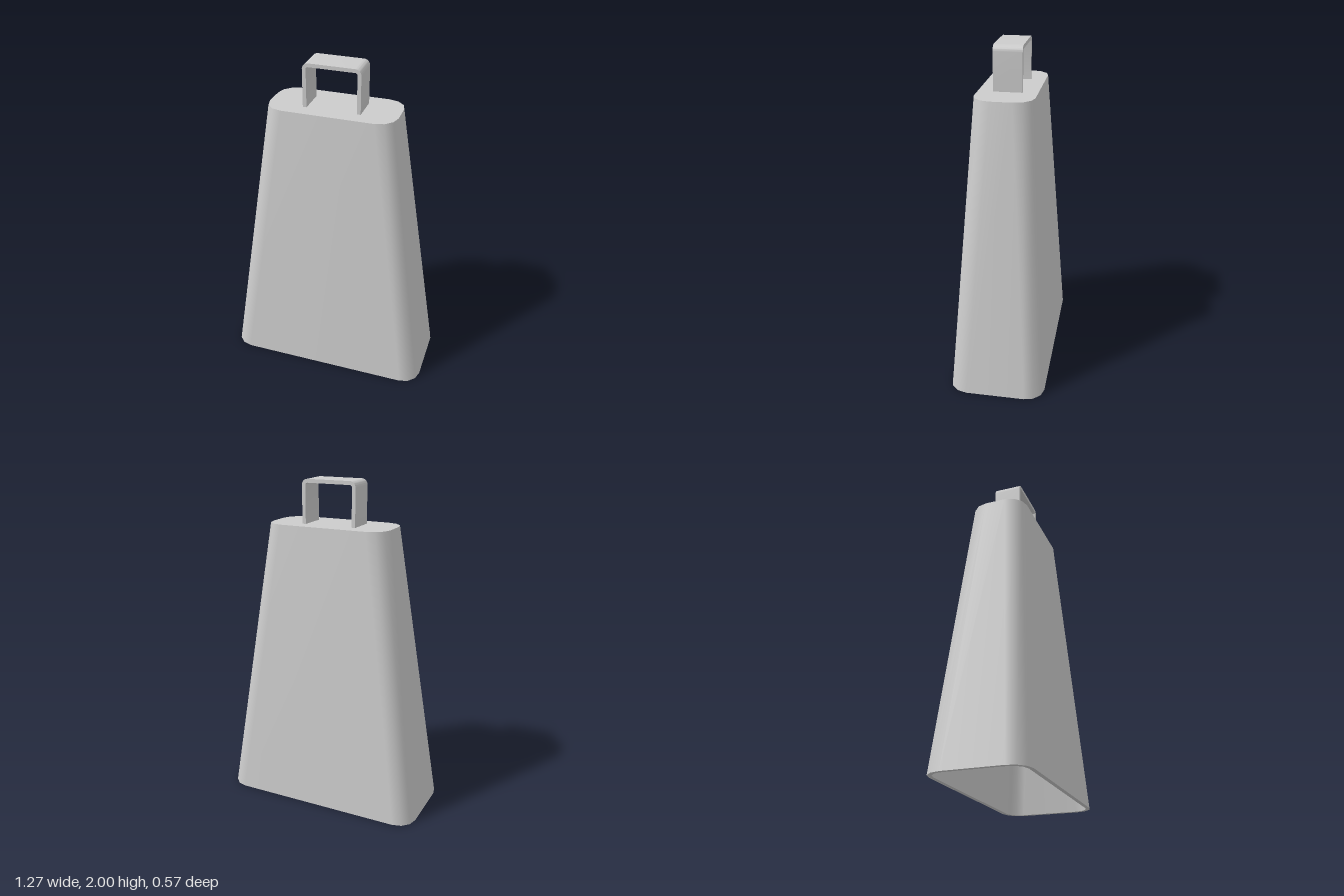
import * as THREE from 'three';
import { mergeGeometries, toCreasedNormals } from 'three/addons/utils/BufferGeometryUtils.js';

const TOP = 1.74, WALL = 0.025, STEPS = 3;

// Rounded-rectangle cross-section at height y, ordered from +x towards +z
function ring(hx, hz, r, y) {
  const points = [];
  for (let q = 0; q < 4; q++) {
    const cx = (q === 0 || q === 3 ? 1 : -1) * (hx - r);
    const cz = (q < 2 ? 1 : -1) * (hz - r);
    for (let i = 0; i <= STEPS; i++) {
      const a = (q + i / STEPS) * Math.PI / 2;
      points.push(new THREE.Vector3(cx + r * Math.cos(a), y, cz + r * Math.sin(a)));
    }
  }
  return points;
}

function build(points, index) {
  const g = new THREE.BufferGeometry().setFromPoints(points);
  g.setIndex(index);
  g.computeVertexNormals();
  return g;
}

// Closed strip joining two rings; smooth around, sharp at its borders
function band(a, b) {
  const n = a.length, index = [];
  for (let i = 0; i < n; i++) {
    const j = (i + 1) % n;
    index.push(i, n + i, j, j, n + i, n + j);
  }
  return build([...a, ...b], index);
}

// Flat fan filling a ring
function cap(points, up) {
  const index = [];
  for (let i = 1; i < points.length - 1; i++) index.push(0, up ? i + 1 : i, up ? i : i + 1);
  return build(points, index);
}

export function createModel() {
  const group = new THREE.Group();
  const material = new THREE.MeshStandardMaterial({ color: 0xcccccc });
  const add = (geometry, name) => {
    const mesh = new THREE.Mesh(geometry, material);
    mesh.name = name;
    group.add(mesh);
    return mesh;
  };

  // Hollow tapered bell, open at the bottom
  const r = 0.11;
  const outerBottom = ring(0.633, 0.285, r, 0);
  const outerTop = ring(0.38, 0.172, r, TOP);
  const innerBottom = ring(0.633 - WALL, 0.285 - WALL, r - WALL, 0);
  const innerTop = ring(0.38 - WALL, 0.172 - WALL, r - WALL, TOP - WALL);
  add(mergeGeometries([
    band(outerBottom, outerTop),
    cap(outerTop, true),
    band(innerTop, innerBottom),
    cap(innerTop, false),
    band(innerBottom, outerBottom),
  ]), 'bellBody');

  // Bent strap handle
  const hw = 0.17, t = 0.022, h = 2 - TOP, ro = 0.035, ri = ro - t;
  const strap = new THREE.Shape();
  strap.moveTo(hw, 0);
  strap.lineTo(hw, h - ro);
  strap.absarc(hw - ro, h - ro, ro, 0, Math.PI / 2);
  strap.absarc(-hw + ro, h - ro, ro, Math.PI / 2, Math.PI);
  strap.lineTo(-hw, 0);
  strap.lineTo(-hw + t, 0);
  strap.absarc(-hw + ro, h - ro, ri, Math.PI, Math.PI / 2, true);
  strap.absarc(hw - ro, h - ro, ri, Math.PI / 2, 0, true);
  strap.lineTo(hw - t, 0);
  strap.closePath();
  const depth = 0.168;
  const handle = new THREE.ExtrudeGeometry(strap, { depth, bevelEnabled: false, curveSegments: 5 });
  handle.translate(0, TOP, -depth / 2);
  add(toCreasedNormals(handle, 0.6), 'handle');

  return group;
}
